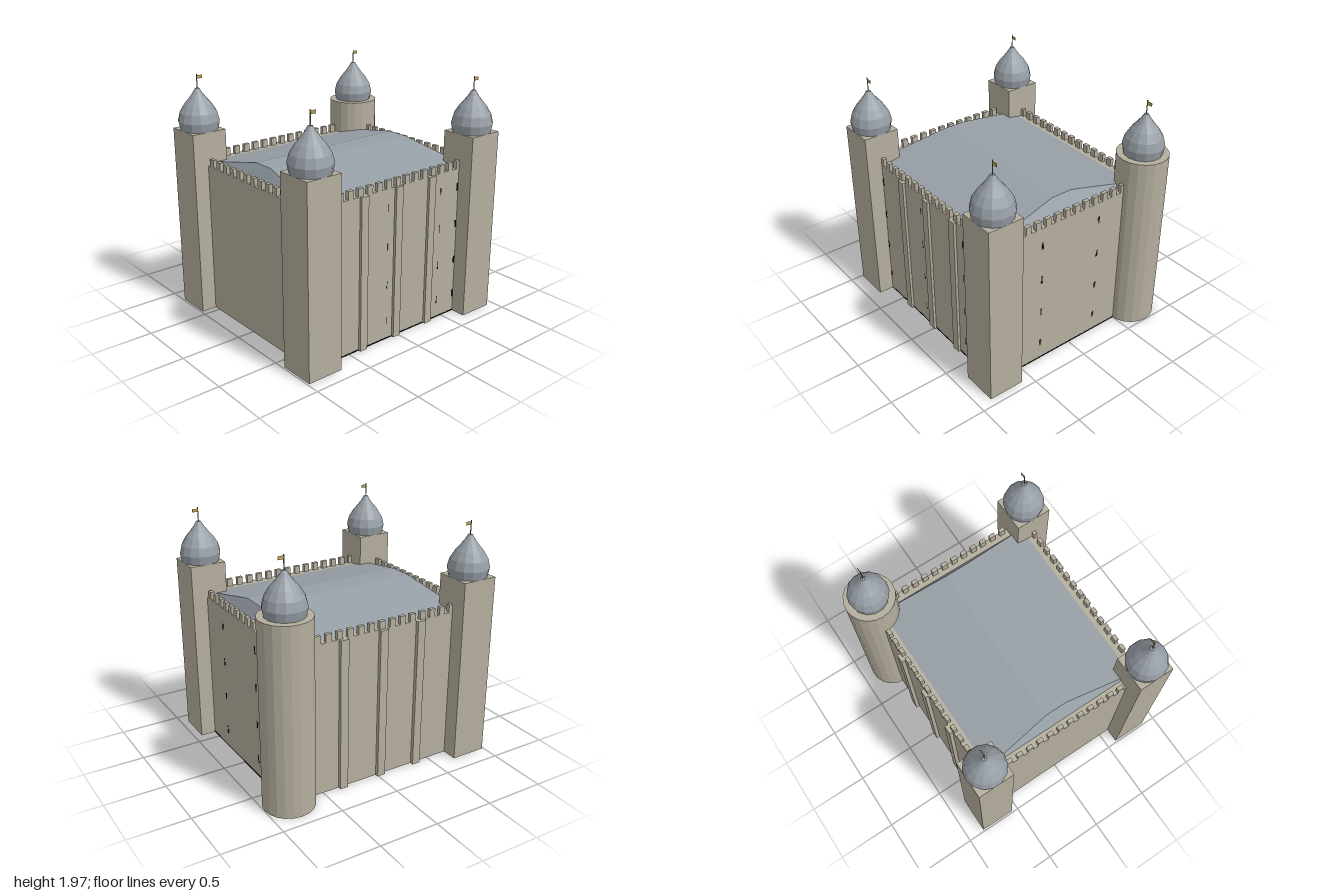
import * as THREE from 'three';

const stone = new THREE.MeshStandardMaterial({ name: 'stone', color: 0xb4ae9d, flatShading: true, side: THREE.DoubleSide });
const lead = new THREE.MeshStandardMaterial({ name: 'lead roof', color: 0x979fa6, flatShading: true });
const black = new THREE.MeshStandardMaterial({ name: 'dark opening', color: 0x0a0a0a });
const wood = new THREE.MeshStandardMaterial({ name: 'flagpole', color: 0x85754a });
const gold = new THREE.MeshStandardMaterial({ name: 'flag', color: 0xc0a658, side: THREE.DoubleSide });

// Outer wall faces and heights
const X0 = -0.86, X1 = 0.812, Z0 = -0.72, Z1 = 0.76;
const WALL = 1.255, TOWER = 1.53;

export function createModel() {
  const root = new THREE.Group();
  root.name = 'castleKeep';

  const add = (parent, name, geo, mat, x = 0, y = 0, z = 0) => {
    const m = new THREE.Mesh(geo, mat);
    m.name = name;
    m.position.set(x, y, z);
    parent.add(m);
    return m;
  };
  // Box given by its limits on each axis
  const box = (parent, name, mat, x0, x1, y0, y1, z0, z1) =>
    add(parent, name, new THREE.BoxGeometry(x1 - x0, y1 - y0, z1 - z0), mat,
      (x0 + x1) / 2, (y0 + y1) / 2, (z0 + z1) / 2);

  box(root, 'walls', stone, X0, X1, 0, WALL, Z0, Z1);

  // Shallow roof: cross-section along z, hipped in slightly at both ends
  const section = [[0.69, 0], [0.11, 0.115], [-0.08, 0.115], [-0.655, 0]];
  const pos = [], index = [];
  for (const [z, h] of section) {
    pos.push(-0.79 + h * 0.62, WALL + 0.001 + h, z, 0.74 - h * 0.57, WALL + 0.001 + h, z);
  }
  for (let i = 0; i < 3; i++) {
    const a = i * 2;
    index.push(a, a + 1, a + 3, a, a + 3, a + 2);
  }
  index.push(0, 2, 4, 0, 4, 6, 1, 5, 3, 1, 7, 5);
  const roofGeo = new THREE.BufferGeometry();
  roofGeo.setAttribute('position', new THREE.Float32BufferAttribute(pos, 3));
  roofGeo.setIndex(index);
  const flatRoof = roofGeo.toNonIndexed();
  flatRoof.computeVertexNormals();
  add(root, 'roof', flatRoof, lead);

  // Battlements on all four walls
  const battlements = new THREE.Group();
  battlements.name = 'battlements';
  root.add(battlements);
  const pitch = 0.0935, half = 0.0245, top = 1.32, deep = 0.032;
  for (let i = -7; i <= 7; i++) {
    const x = -0.0225 + i * pitch;
    box(battlements, 'frontMerlon', stone, x - half, x + half, WALL, top, Z1 - deep, Z1);
    box(battlements, 'backMerlon', stone, x - half, x + half, WALL, top, Z0, Z0 + deep);
  }
  for (let i = -5.5; i <= 5.5; i++) {
    const z = 0.0175 + i * pitch;
    box(battlements, 'leftMerlon', stone, X1 - deep, X1, WALL, top, z - half, z + half);
    box(battlements, 'rightMerlon', stone, X0, X0 + deep, WALL, top, z - half, z + half);
  }

  // Flat buttresses on front and back
  for (const x of [-0.37, -0.025, 0.325]) {
    box(root, 'frontButtress', stone, x - 0.035, x + 0.035, 0, WALL, Z1 - 0.02, 0.782);
    box(root, 'backButtress', stone, x - 0.035, x + 0.035, 0, WALL, -0.75, Z0 + 0.02);
  }

  // Arrow slits in four storeys
  for (const y of [0.16, 0.47, 0.785, 1.1]) {
    for (const [x, w] of [[-0.678, 0.012], [-0.12, 0.003], [0.44, 0.006], [0.626, 0.016]]) {
      box(root, 'frontSlit', black, x - w / 2, x + w / 2, y - 0.031, y + 0.031, Z1 - 0.002, Z1 + 0.002);
    }
    for (const z of [0.303, -0.255]) {
      for (const d of [-0.005, 0.005]) {
        box(root, 'sideSlit', black, X1 - 0.002, X1 + 0.002, y - 0.031, y + 0.031, z + d - 0.002, z + d + 0.002);
      }
    }
  }

  // Dark line at the foot of the walls
  box(root, 'frontFootLine', black, -0.685, 0.64, 0, 0.01, Z1 - 0.002, Z1 + 0.002);
  box(root, 'sideFootLine', black, X1 - 0.002, X1 + 0.002, 0, 0.01, -0.5, 0.59);

  // Corner towers, one of them round and open underneath
  const domeProfile = [[0.153, 0], [0.166, 0.07], [0.148, 0.14], [0.108, 0.205],
    [0.07, 0.25], [0.04, 0.29], [0.018, 0.328], [0, 0.33]].map(([r, y]) => new THREE.Vector2(r, y));
  const domeGeo = new THREE.LatheGeometry(domeProfile, 14);
  const poleGeo = new THREE.CylinderGeometry(0.004, 0.004, 0.13, 6);
  const flagGeo = new THREE.BoxGeometry(0.045, 0.026, 0.003);
  for (const [x, z, round] of [[-0.835, 0.738], [0.787, 0.738], [-0.835, -0.702], [0.79, -0.702, true]]) {
    const tower = new THREE.Group();
    tower.name = round ? 'roundTower' : 'squareTower';
    tower.position.set(x, 0, z);
    root.add(tower);
    if (round) {
      add(tower, 'towerShaft', new THREE.CylinderGeometry(0.206, 0.206, TOWER, 20, 1, true), stone, 0, TOWER / 2, 0);
      add(tower, 'towerTop', new THREE.CircleGeometry(0.206, 20).rotateX(-Math.PI / 2), stone, 0, TOWER, 0);
    } else {
      box(tower, 'towerShaft', stone, -0.15, 0.15, 0, TOWER, -0.15, 0.15);
    }
    add(tower, 'dome', domeGeo, lead, 0, TOWER, 0);
    add(tower, 'flagpole', poleGeo, wood, 0, 1.905, 0);
    add(tower, 'flag', flagGeo, gold, 0.0245, 1.947, 0);
  }
  return root;
}
